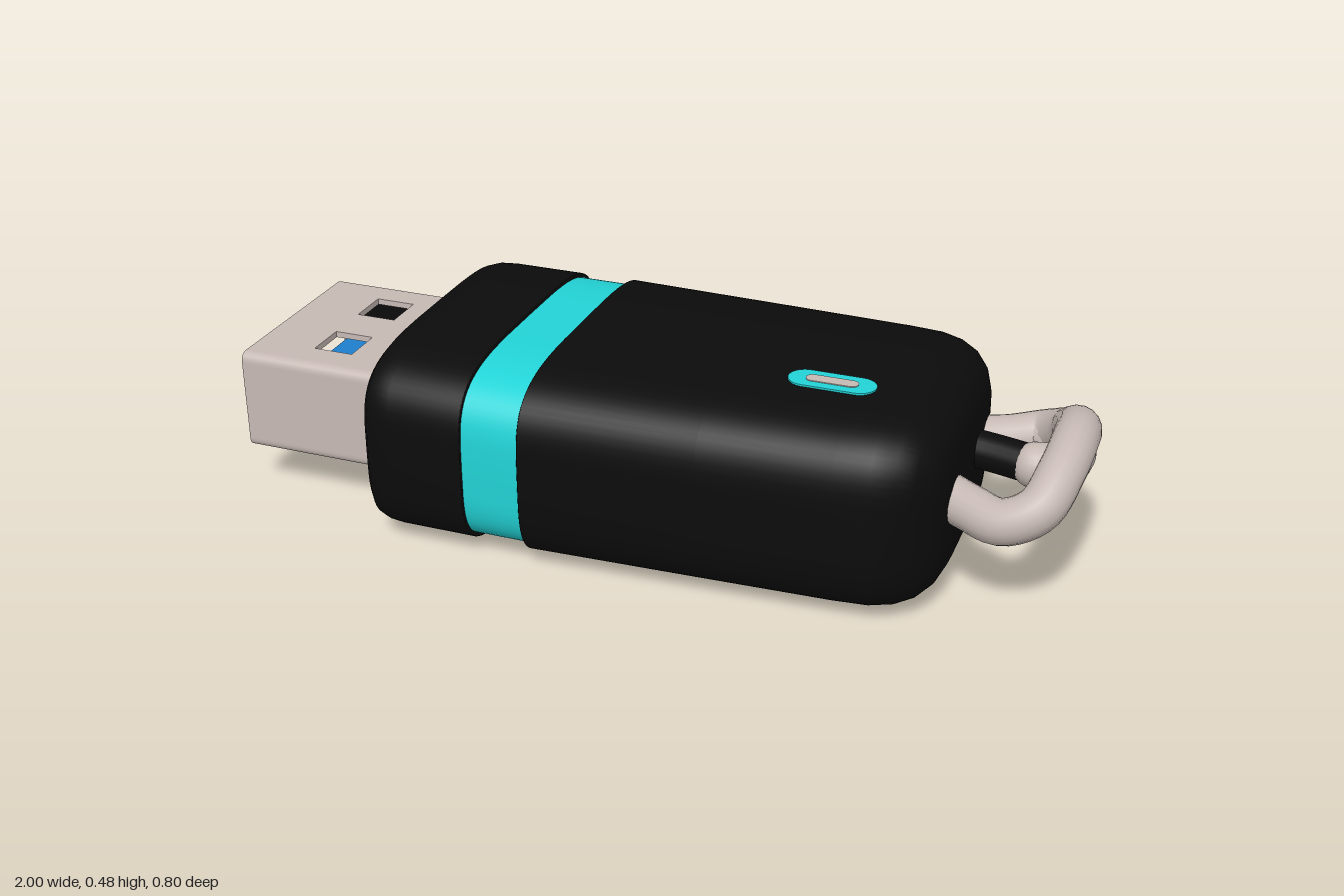
import * as THREE from 'three';

const mat = (name, color) => {
  const m = new THREE.MeshStandardMaterial({ color });
  m.name = name;
  return m;
};

export function createModel() {
  const root = new THREE.Group();
  const black = mat('black plastic', 0x0b0b0b);
  const teal = mat('teal', 0x22d3d6);
  const metal = mat('warm grey metal', 0xc6b9b4);
  const blue = mat('blue plastic', 0x1f7fcc);

  const add = (name, geo, m, x = 0, y = 0, z = 0) => {
    const mesh = new THREE.Mesh(geo, m);
    mesh.name = name;
    mesh.position.set(x, y, z);
    root.add(mesh);
    return mesh;
  };
  const box = (name, m, x0, x1, y0, y1, z0, z1) =>
    add(name, new THREE.BoxGeometry(x1 - x0, y1 - y0, z1 - z0), m,
      (x0 + x1) / 2, (y0 + y1) / 2, (z0 + z1) / 2);

  // Loft of squarish ovals along x; each section is [x, half depth, half height]
  const loft = (sections) => {
    const n = 72, pos = [], idx = [];
    const soft = (v) => Math.sign(v) * Math.sqrt(Math.abs(v));
    sections.forEach(([x, hz, hy], i) => {
      for (let j = 0; j < n; j++) {
        const a = (j / n) * Math.PI * 2;
        pos.push(x, 0.2375 + hy * soft(Math.sin(a)), hz * soft(Math.cos(a)));
        if (i === sections.length - 1) continue;
        const p = i * n + j, q = i * n + ((j + 1) % n);
        idx.push(p, p + n, q, q, p + n, q + n);
      }
    });
    const g = new THREE.BufferGeometry();
    g.setAttribute('position', new THREE.Float32BufferAttribute(pos, 3));
    g.setIndex(idx);
    g.computeVertexNormals();
    return g;
  };

  // Casing
  add('frontCollar', loft([
    [-0.608, 0, 0], [-0.608, 0.34, 0.185], [-0.604, 0.37, 0.21], [-0.59, 0.387, 0.226],
    [-0.565, 0.396, 0.234], [-0.53, 0.4, 0.236], [-0.352, 0.4, 0.236],
    [-0.35, 0.398, 0.234], [-0.35, 0, 0],
  ]), black);
  add('colourBand', loft([[-0.37, 0.392, 0.226], [-0.19, 0.392, 0.226]]), teal);
  add('mainBody', loft([
    [-0.21, 0, 0], [-0.21, 0.4, 0.2355], [-0.208, 0.402, 0.2375], [0.2, 0.383, 0.2375],
    [0.5, 0.368, 0.2375], [0.58, 0.36, 0.2365], [0.63, 0.343, 0.23], [0.67, 0.317, 0.215],
    [0.7, 0.28, 0.19], [0.716, 0.24, 0.16], [0.723, 0.19, 0.125], [0.725, 0, 0],
  ]), black);

  // Indicator light: two thin capsule plates
  const capsule = (len, r) => {
    const s = new THREE.Shape();
    s.absarc(len / 2 - r, 0, r, -Math.PI / 2, Math.PI / 2);
    s.absarc(-len / 2 + r, 0, r, Math.PI / 2, Math.PI * 1.5);
    return new THREE.ExtrudeGeometry(s, { depth: 0.006, bevelEnabled: false })
      .rotateX(-Math.PI / 2);
  };
  add('indicatorRim', capsule(0.2, 0.04), teal, 0.43, 0.471, 0.125);
  add('indicatorLens', capsule(0.12, 0.016), metal, 0.43, 0.473, 0.125);

  // Plug shell: two rounded side channels and two plates with square holes
  const yLow = 0.112, yHigh = 0.362, wall = 0.015, half = 0.246, flat = 0.21, r = 0.025;
  for (const s of [1, -1]) {
    const c = new THREE.Shape();
    c.moveTo(s * flat, yLow);
    c.lineTo(s * (half - r), yLow);
    c.quadraticCurveTo(s * half, yLow, s * half, yLow + r);
    c.lineTo(s * half, yHigh - r);
    c.quadraticCurveTo(s * half, yHigh, s * (half - r), yHigh);
    c.lineTo(s * flat, yHigh);
    c.lineTo(s * flat, yHigh - wall);
    c.lineTo(s * (half - wall), yHigh - wall);
    c.lineTo(s * (half - wall), yLow + wall);
    c.lineTo(s * flat, yLow + wall);
    add(s > 0 ? 'plugSideLeft' : 'plugSideRight',
      new THREE.ExtrudeGeometry(c, { depth: 0.42, bevelEnabled: false })
        .rotateY(-Math.PI / 2), metal, -0.58);
    box('plugSideLining', black, -0.985, -0.61, yLow + wall, yHigh - wall,
      s * 0.228 - 0.004, s * 0.228 + 0.004);
  }
  const rect = (path, x0, x1, z0, z1) => {
    path.moveTo(x0, z0);
    path.lineTo(x1, z0);
    path.lineTo(x1, z1);
    path.lineTo(x0, z1);
    path.closePath();
    return path;
  };
  const plate = rect(new THREE.Shape(), -1, -0.58, -flat, flat);
  for (const z of [-0.11, 0.105]) {
    plate.holes.push(rect(new THREE.Path(), -0.85, -0.75, z - 0.052, z + 0.052));
  }
  const plateGeo = new THREE.ExtrudeGeometry(plate, { depth: wall, bevelEnabled: false })
    .rotateX(Math.PI / 2);
  add('plugTop', plateGeo, metal, 0, yHigh);
  add('plugBottom', plateGeo, metal, 0, yLow + wall);

  // Tongue with dark contacts inside the plug
  box('tongueBase', black, -0.98, -0.61, 0.135, 0.15, -0.222, 0.222);
  box('springTab', metal, -0.86, -0.74, 0.128, 0.135, 0.045, 0.165);
  box('tongue', blue, -0.98, -0.61, 0.15, 0.21, -0.222, 0.222);
  box('contactBlock', black, -0.86, -0.61, 0.21, 0.218, -0.222, 0.222);
  for (let i = -2; i <= 2; i++) {
    box('contact', black, -0.91, -0.86, 0.21, 0.218, i * 0.085 - 0.02, i * 0.085 + 0.02);
  }
  box('plugBackWall', black, -0.62, -0.605, yLow + wall, yHigh - wall, -0.225, 0.225);

  // Key loop: a raised arch and a small lower link
  const tube = (name, pts, radius, m) => {
    const curve = new THREE.CatmullRomCurve3(pts.map((p) => new THREE.Vector3(...p)));
    return add(name, new THREE.TubeGeometry(curve, 56, radius, 18), m);
  };
  tube('keyLoopArch', [
    [0.69, 0.255, 0.13], [0.76, 0.25, 0.17], [0.84, 0.25, 0.208], [0.91, 0.285, 0.19],
    [0.94, 0.34, 0.11], [0.948, 0.366, 0], [0.94, 0.35, -0.09], [0.91, 0.305, -0.165],
    [0.85, 0.265, -0.215], [0.77, 0.25, -0.19], [0.69, 0.25, -0.16],
  ], 0.052, metal);
  tube('keyLoopLink', [
    [0.86, 0.262, -0.05], [0.91, 0.262, -0.065], [0.928, 0.262, -0.12],
    [0.915, 0.265, -0.185], [0.85, 0.262, -0.212],
  ], 0.053, metal);
  add('linkEnd', new THREE.SphereGeometry(0.053, 18, 12), metal, 0.86, 0.262, -0.05);
  tube('loopAnchor', [[0.68, 0.262, -0.09], [0.76, 0.262, -0.075], [0.86, 0.262, -0.05]],
    0.045, black);

  return root;
}
